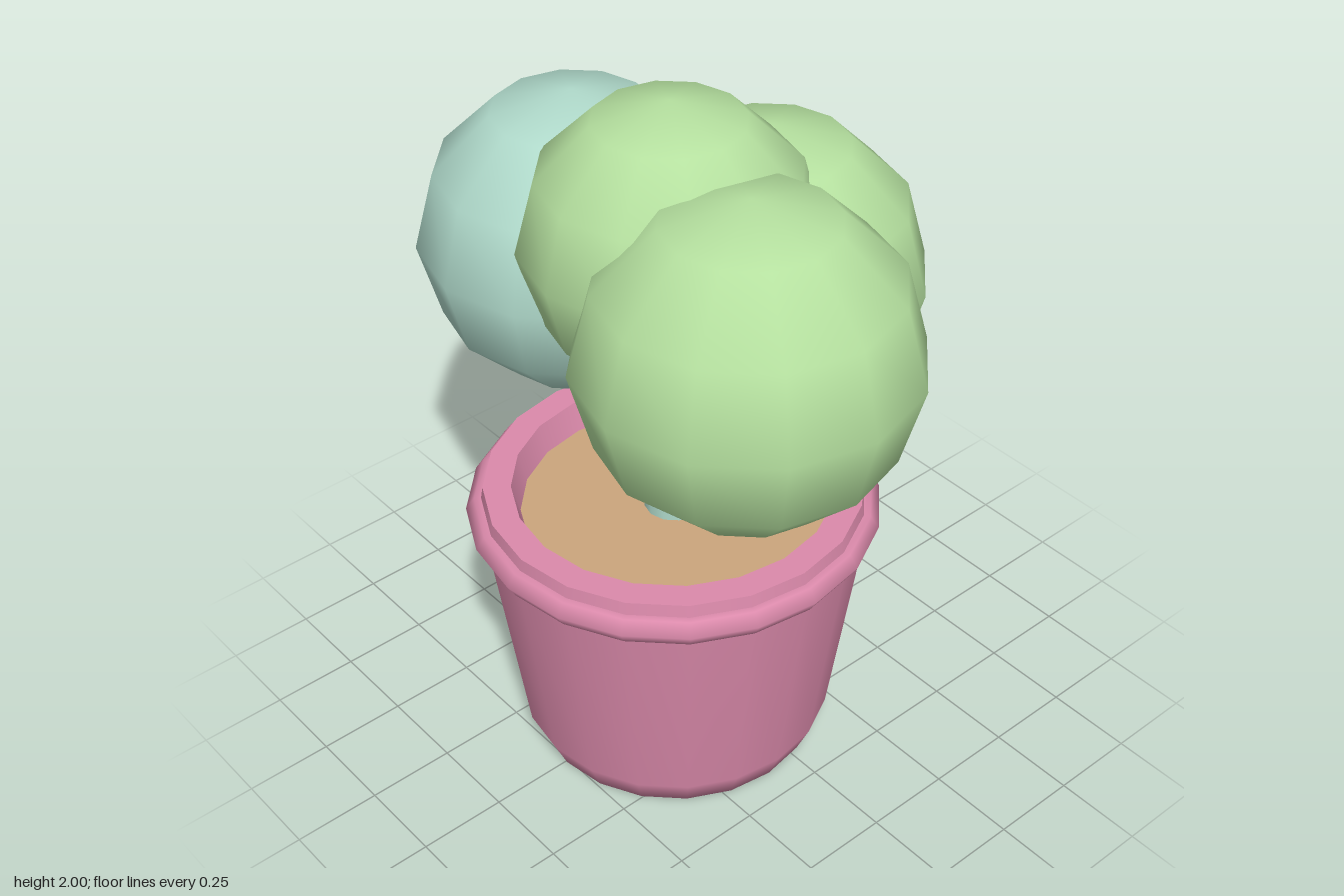
import * as THREE from 'three';

export function createModel() {
  const model = new THREE.Group();
  model.name = 'pottedTree';

  const material = (name, color) => {
    const m = new THREE.MeshStandardMaterial({ color });
    m.name = name;
    return m;
  };
  const pink = material('pinkClay', 0xdb8aab);
  const soilTan = material('soilTan', 0xcba67d);
  const green = material('leafGreen', 0xb5e09f);
  const mint = material('mint', 0xb0dacb);

  const add = (name, geometry, mat, x, y, z) => {
    const mesh = new THREE.Mesh(geometry, mat);
    mesh.name = name;
    mesh.position.set(x, y, z);
    model.add(mesh);
  };

  // Pot and trunk share one upright axis
  const axisX = 0.005, axisZ = 0.1;
  const lathe = (name, points) => add(name,
    new THREE.LatheGeometry(points.map(([r, y]) => new THREE.Vector2(r, y)), 20),
    pink, axisX, 0, axisZ);

  // Pot: each lathe is smooth, joints between them stay sharp
  lathe('potBody', [[0, 0], [0.41, 0], [0.447, 0.085], [0.535, 0.725]]);
  lathe('potRim', [[0.53, 0.725], [0.547, 0.725], [0.571, 0.765], [0.547, 0.8], [0.528, 0.8]]);
  lathe('potLip', [[0.528, 0.8], [0.522, 0.835]]);
  lathe('potLipTop', [[0.522, 0.835], [0.445, 0.835]]);
  lathe('potInside', [[0.445, 0.835], [0.42, 0.74]]);

  // Soil disc
  const soil = new THREE.CircleGeometry(0.43, 20);
  soil.rotateX(-Math.PI / 2);
  add('soil', soil, soilTan, axisX, 0.75, axisZ);

  // Trunk
  add('trunk', new THREE.CylinderGeometry(0.083, 0.083, 0.65, 12), mint, axisX, 1.065, axisZ);

  // Foliage balls: name, radius, position, material
  const balls = [
    ['foliageTop', 0.395, 0, 1.605, 0.1, green],
    ['foliageLeft', 0.45, 0.37, 1.47, 0.165, green],
    ['foliageBack', 0.435, 0, 1.375, -0.235, green],
    ['foliageRight', 0.43, -0.397, 1.435, 0.095, mint],
  ];
  for (const [name, r, x, y, z, mat] of balls) {
    add(name, new THREE.SphereGeometry(r, 12, 6), mat, x, y, z);
  }

  return model;
}
